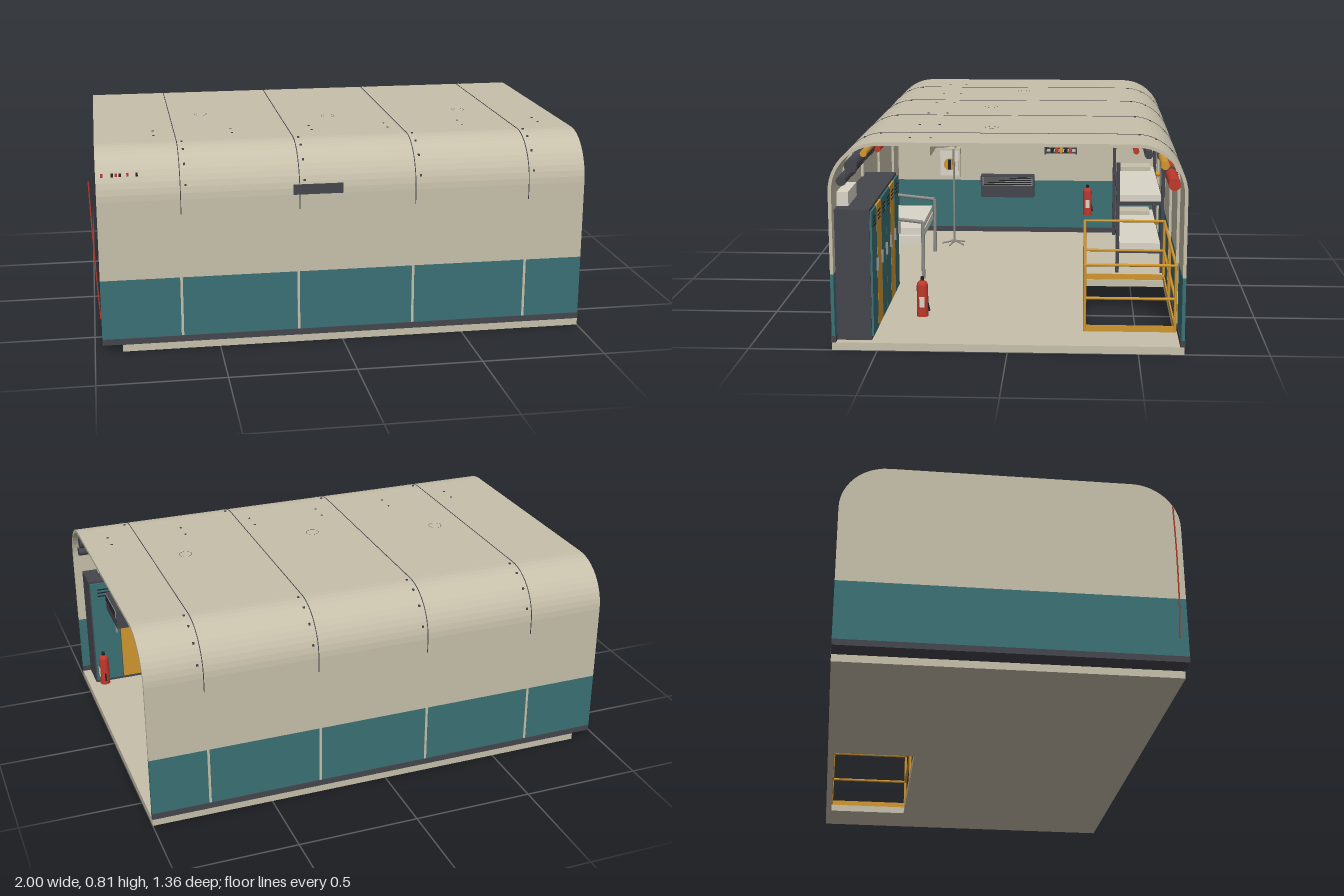
import * as THREE from 'three';

const mat = (name, color, side = THREE.FrontSide) => {
  const m = new THREE.MeshStandardMaterial({ color, side });
  m.name = name;
  return m;
};

export function createModel() {
  const root = new THREE.Group();
  root.name = 'vaultedCabin';
  const beige = mat('beige paint', 0xc6bfaa), teal = mat('teal paint', 0x3a7074);
  const dark = mat('dark metal', 0x45454d), orange = mat('orange paint', 0xd0962f);
  const red = mat('red paint', 0xbf3a2c), pale = mat('pale fabric', 0xd9d5c8);
  const steel = mat('steel', 0x8e8d88), black = mat('black', 0x222226);

  const add = (name, geo, m, parent = root) => {
    const mesh = new THREE.Mesh(geo, m);
    mesh.name = name;
    parent.add(mesh);
    return mesh;
  };
  // Box given by its limits on each axis
  const box = (name, m, x0, x1, y0, y1, z0, z1, p) =>
    add(name, new THREE.BoxGeometry(x1 - x0, y1 - y0, z1 - z0)
      .translate((x0 + x1) / 2, (y0 + y1) / 2, (z0 + z1) / 2), m, p);
  // Round bar between two points
  const rod = (name, m, a, b, r, p, seg = 10) => {
    const A = new THREE.Vector3(...a), B = new THREE.Vector3(...b), d = B.clone().sub(A);
    const mesh = add(name, new THREE.CylinderGeometry(r, r, d.length(), seg), m, p);
    mesh.position.copy(A).add(B).multiplyScalar(0.5);
    mesh.quaternion.setFromUnitVectors(new THREE.Vector3(0, 1, 0), d.normalize());
    return mesh;
  };
  const group = (name) => {
    const g = new THREE.Group();
    g.name = name;
    root.add(g);
    return g;
  };

  // Vault cross-section: straight sides, rounded shoulders, flat top
  const archPoints = (off, y0) => {
    const r = 0.19 + off, pts = [[0.485 + r, y0]];
    for (let s = 0; s < 2; s++) for (let i = 0; i <= 12; i++) {
      const a = (s * 12 + i) * Math.PI / 24;
      pts.push([(s ? -0.485 : 0.485) + r * Math.cos(a), 0.62 + r * Math.sin(a)]);
    }
    pts.push([-0.485 - r, y0]);
    return pts.map(([x, y]) => new THREE.Vector2(x, y));
  };
  const arch = (name, m, x0, x1, offOut, offIn, y0) => {
    const pts = archPoints(offOut, y0);
    if (offIn !== null) pts.push(...archPoints(offIn, y0).reverse());
    const g = new THREE.ExtrudeGeometry(new THREE.Shape(pts), { depth: x1 - x0, bevelEnabled: false });
    return add(name, g.rotateY(Math.PI / 2).translate(x0, 0, 0), m);
  };

  // Floor with a hatch opening
  box('floorMain', beige, -0.89, 1, 0, 0.03, -0.3, 0.675);
  box('floorRear', beige, -0.89, 0.04, 0, 0.03, -0.675, -0.3);
  box('floorCorner', beige, 0.8, 1, 0, 0.03, -0.675, -0.3);
  box('floorEdge', beige, 0.04, 0.8, 0, 0.03, -0.675, -0.65);

  // Shell: vault, closed end, painted lower walls and skirting
  arch('vault', beige, -0.89, 1, 0, -0.013, 0.3);
  arch('endWallUpper', beige, -0.97, -0.89, 0, null, 0.3);
  box('endWallLower', teal, -0.97, -0.89, 0.055, 0.3, -0.675, 0.675);
  box('endSkirting', dark, -0.97, -0.885, 0.03, 0.055, -0.675, 0.675);
  for (const s of [-1, 1]) {
    const z0 = s > 0 ? 0.662 : -0.675, z1 = z0 + 0.013;
    box('sideWallLower', teal, -0.89, 1, 0.055, 0.3, z0, z1);
    box('sideSkirting', dark, -0.89, 1, 0.03, 0.055, z0 - 0.003, z1 + 0.003);
  }
  // Frames: inner ribs, outer seams, wall strips and bolts
  for (const x of [-0.65, -0.18, 0.29, 0.76]) {
    arch('innerRib', beige, x - 0.012, x + 0.012, -0.012, -0.024, 0.03);
    arch('roofSeam', dark, x + 0.004, x + 0.007, 0.0015, -0.005, 0.56);
    for (const s of [-1, 1]) {
      box('wallStrip', beige, x - 0.005, x + 0.005, 0.056, 0.3, s * 0.674 - 0.003, s * 0.674 + 0.003);
      for (const a of [0.3, 0.75, 1.15, 1.5]) {
        const c = 0.485 + 0.19 * Math.cos(a), y = 0.62 + 0.19 * Math.sin(a);
        box('seamBolt', dark, x + 0.022, x + 0.03, y - 0.004, y + 0.004, s * c - 0.004, s * c + 0.004);
      }
    }
  }

  // Pipes along both shoulders, with flanges and clamps
  const pipes = [[0.59, 0.716, 0.025, dark], [0.54, 0.764, 0.013, orange], [0.487, 0.78, 0.011, red],
    [0.628, 0.658, 0.019, dark], [-0.48, 0.78, 0.011, red], [-0.527, 0.767, 0.016, dark],
    [-0.589, 0.727, 0.016, orange], [-0.625, 0.655, 0.023, red]];
  for (const [z, y, r, m] of pipes) {
    const g = group('pipeRun');
    rod('pipe', m, [-0.89, y, z], [0.98, y, z], r, g, 14);
    for (const x of [-0.65, -0.18, 0.29, 0.76]) {
      rod('clamp', dark, [x - 0.012, y, z], [x + 0.012, y, z], r + 0.004, g, 14);
      const d = new THREE.Vector2(Math.abs(z) - 0.485, y - 0.62).normalize().multiplyScalar(0.18);
      rod('bracket', black, [x, y, z], [x, 0.62 + d.y, Math.sign(z) * (0.485 + d.x)], 0.004, g, 6);
    }
  }

  // Ceiling duct with hanger bolts and a round diffuser
  const duct = group('ceilingDuct');
  box('ductBox', beige, -0.85, 0.96, 0.75, 0.797, 0.29, 0.385, duct);
  for (const x of [-0.73, -0.41, -0.08, 0.24, 0.56, 0.89]) for (const z of [0.295, 0.375])
    rod('hangerBolt', dark, [x, 0.79, z], [x, 0.812, z], 0.005, duct, 8);
  rod('diffuser', pale, [0.27, 0.68, 0.34], [0.27, 0.75, 0.34], 0.065, duct, 24);
  rod('diffuserRim', steel, [0.27, 0.676, 0.34], [0.27, 0.684, 0.34], 0.068, duct, 24);

  // Cable tray
  const tray = group('cableTray');
  for (const z of [-0.26, -0.145]) box('trayRail', dark, -0.88, 0.97, 0.765, 0.797, z, z + 0.006, tray);
  for (let i = 0; i < 19; i++) box('trayRung', dark, -0.86 + i * 0.1, -0.85 + i * 0.1, 0.765, 0.77, -0.26, -0.14, tray);
  [red, black, orange, red, black].forEach((m, i) =>
    rod('cable', m, [-0.88, 0.776, -0.235 + i * 0.017], [0.97, 0.776, -0.235 + i * 0.017], 0.006, tray, 8));
  for (const z of [0.19, 0.205]) rod('conduit', steel, [-0.88, 0.795, z], [0.97, 0.795, z], 0.005);

  // Caged ceiling lamps
  for (const [x, z] of [[-0.51, 0], [0.03, 0.12], [0.62, 0.08]]) {
    const g = group('ceilingLamp');
    rod('lampBase', dark, [x, 0.782, z], [x, 0.8, z], 0.027, g, 18);
    add('lampGlass', new THREE.SphereGeometry(0.02, 14, 10), pale, g).position.set(x, 0.775, z);
    for (let i = 0; i < 3; i++) {
      const c = add('cageBar', new THREE.TorusGeometry(0.024, 0.002, 5, 14, Math.PI), dark, g);
      c.rotation.set(Math.PI, i * Math.PI / 3, 0, 'YXZ');
      c.position.set(x, 0.782, z);
    }
    const ring = add('roofRing', new THREE.RingGeometry(0.027, 0.029, 12, 1), dark, g);
    ring.rotation.x = -Math.PI / 2;
    ring.position.set(x, 0.811, z);
  }

  // Lockers along the side wall
  const lockers = group('lockers');
  box('lockerBody', dark, 0.2, 0.965, 0.03, 0.545, 0.525, 0.66, lockers);
  [teal, orange, teal, teal, orange, teal].forEach((m, i) => {
    const x = 0.96 - i * 0.126;
    box('lockerDoor', m, x - 0.122, x, 0.045, 0.535, 0.517, 0.526, lockers);
    for (let k = 0; k < 3; k++) box('lockerVent', black, x - 0.09, x - 0.03, 0.47 + k * 0.016, 0.475 + k * 0.016, 0.515, 0.518, lockers);
    box('lockerHandle', steel, x - 0.11, x - 0.1, 0.28, 0.33, 0.508, 0.518, lockers);
  });
  box('lockerTopBox', pale, 0.7, 0.9, 0.545, 0.6, 0.615, 0.66, lockers);

  // Bench with tubular frame
  const bench = group('bench');
  box('benchSeat', pale, -0.45, 0.05, 0.19, 0.225, 0.44, 0.62, bench);
  box('benchCushion', pale, -0.44, 0.04, 0.23, 0.26, 0.44, 0.62, bench);
  for (const x of [-0.45, 0.05]) {
    rod('frontLeg', steel, [x, 0.03, 0.43], [x, 0.29, 0.43], 0.008, bench);
    rod('backLeg', steel, [x, 0.03, 0.62], [x, 0.31, 0.62], 0.008, bench);
    rod('armRest', steel, [x, 0.29, 0.43], [x, 0.31, 0.62], 0.008, bench);
  }

  // Drip stand
  const stand = group('stand');
  rod('standPole', steel, [-0.6, 0.04, 0.35], [-0.6, 0.51, 0.35], 0.005, stand);
  for (let i = 0; i < 5; i++) {
    const a = i * Math.PI * 0.4;
    rod('standFoot', steel, [-0.6, 0.05, 0.35], [-0.6 + 0.06 * Math.sin(a), 0.036, 0.35 + 0.06 * Math.cos(a)], 0.004, stand, 6);
  }

  // Two-tier bunk
  const bunk = group('bunk');
  for (const x of [-0.84, -0.1]) for (const [z, top] of [[-0.445, 0.54], [-0.648, 0.53]])
    box('bunkPost', dark, x - 0.008, x + 0.008, 0.03, top, z - 0.008, z + 0.008, bunk);
  for (const y of [0.12, 0.345]) {
    box('bunkFrame', dark, -0.84, -0.1, y, y + 0.015, -0.65, -0.445, bunk);
    box('mattress', pale, -0.83, -0.11, y + 0.015, y + 0.045, -0.64, -0.455, bunk);
    box('pillow', beige, -0.81, -0.7, y + 0.045, y + 0.065, -0.62, -0.47, bunk);
  }
  for (const y of [0.255, 0.48]) add('readingLamp', new THREE.SphereGeometry(0.012, 10, 8), orange, bunk).position.set(-0.15, y, -0.625);

  // Guard rail around the hatch
  const rail = group('guardRail');
  for (const y of [0.165, 0.3]) {
    for (const z of [-0.295, -0.65]) rod('railLong', orange, [0.03, y, z], [0.81, y, z], 0.006, rail);
    for (const x of [0.03, 0.81]) rod('railEnd', orange, [x, y, -0.295], [x, y, -0.65], 0.006, rail);
  }
  for (const z of [-0.295, -0.65]) {
    for (const x of [0.03, 0.42, 0.81]) rod('railPost', orange, [x, 0.03, z], [x, 0.3, z], 0.006, rail);
    box('toeBoard', orange, 0.03, 0.81, 0.03, 0.055, z - 0.003, z + 0.003, rail);
  }
  for (const x of [0.03, 0.81]) box('toeBoard', orange, x - 0.003, x + 0.003, 0.03, 0.055, -0.65, -0.295, rail);

  // Fire extinguishers
  for (const [x, z] of [[0.96, 0.327], [-0.86, -0.31]]) {
    const g = group('extinguisher');
    rod('bottle', red, [x, 0.13, z], [x, 0.25, z], 0.022, g, 16);
    add('bottleShoulder', new THREE.SphereGeometry(0.022, 16, 8), red, g).position.set(x, 0.25, z);
    rod('valve', black, [x, 0.265, z], [x, 0.285, z], 0.007, g);
    box('label', pale, x + 0.0205, x + 0.0235, 0.17, 0.21, z - 0.01, z + 0.01, g);
    rod('hose', black, [x, 0.275, z], [x, 0.15, z - 0.026], 0.004, g, 6);
  }

  // End wall clock
  const clock = group('clock');
  rod('clockRim', orange, [-0.89, 0.555, 0], [-0.868, 0.555, 0], 0.044, clock, 28);
  rod('clockFace', pale, [-0.87, 0.555, 0], [-0.865, 0.555, 0], 0.036, clock, 28);
  rod('hourHand', black, [-0.863, 0.555, 0], [-0.863, 0.572, 0.014], 0.002, clock, 6);
  rod('minuteHand', black, [-0.863, 0.555, 0], [-0.863, 0.572, -0.026], 0.002, clock, 6);
  rod('secondHand', red, [-0.862, 0.555, 0], [-0.862, 0.53, -0.016], 0.001, clock, 6);

  // Switch panel with dial and conduit
  const panel = group('switchPanel');
  box('panelBox', beige, -0.89, -0.85, 0.32, 0.47, 0.34, 0.45, panel);
  box('panelDoor', pale, -0.85, -0.845, 0.33, 0.46, 0.348, 0.442, panel);
  rod('dial', orange, [-0.845, 0.39, 0.393], [-0.835, 0.39, 0.393], 0.03, panel, 20);
  box('dialKnob', black, -0.836, -0.825, 0.365, 0.415, 0.386, 0.4, panel);
  rod('panelConduit', dark, [-0.88, 0.47, 0.367], [-0.88, 0.57, 0.367], 0.006, panel);

  // Heater hanging at the open end
  const heater = group('heater');
  box('heaterBody', dark, 0.92, 0.97, 0.6, 0.68, -0.1, 0.1, heater);
  box('heaterGrille', steel, 0.969, 0.973, 0.645, 0.677, -0.094, 0.094, heater);
  for (let i = 0; i < 4; i++) box('grilleSlot', black, 0.972, 0.975, 0.648 + i * 0.008, 0.652 + i * 0.008, -0.09, 0.09, heater);

  // Shoulder plate, wall studs and the outside cable
  box('shoulderPlate', dark, -0.2, 0, 0.62, 0.66, 0.655, 0.678);
  [0, 0.04, 0.055, 0.07, 0.1, 0.135].forEach((d, i) =>
    box('stud', i % 2 ? black : red, -0.95 + d, -0.941 + d, 0.711, 0.727, 0.62, 0.65));
  const path = new THREE.CatmullRomCurve3([[-0.997, 0.7, 0.64], [-0.99, 0.5, 0.645], [-0.98, 0.28, 0.645], [-0.972, 0.13, 0.64]]
    .map((p) => new THREE.Vector3(...p)));
  add('outsideCable', new THREE.TubeGeometry(path, 16, 0.003, 6), red);
  return root;
}
